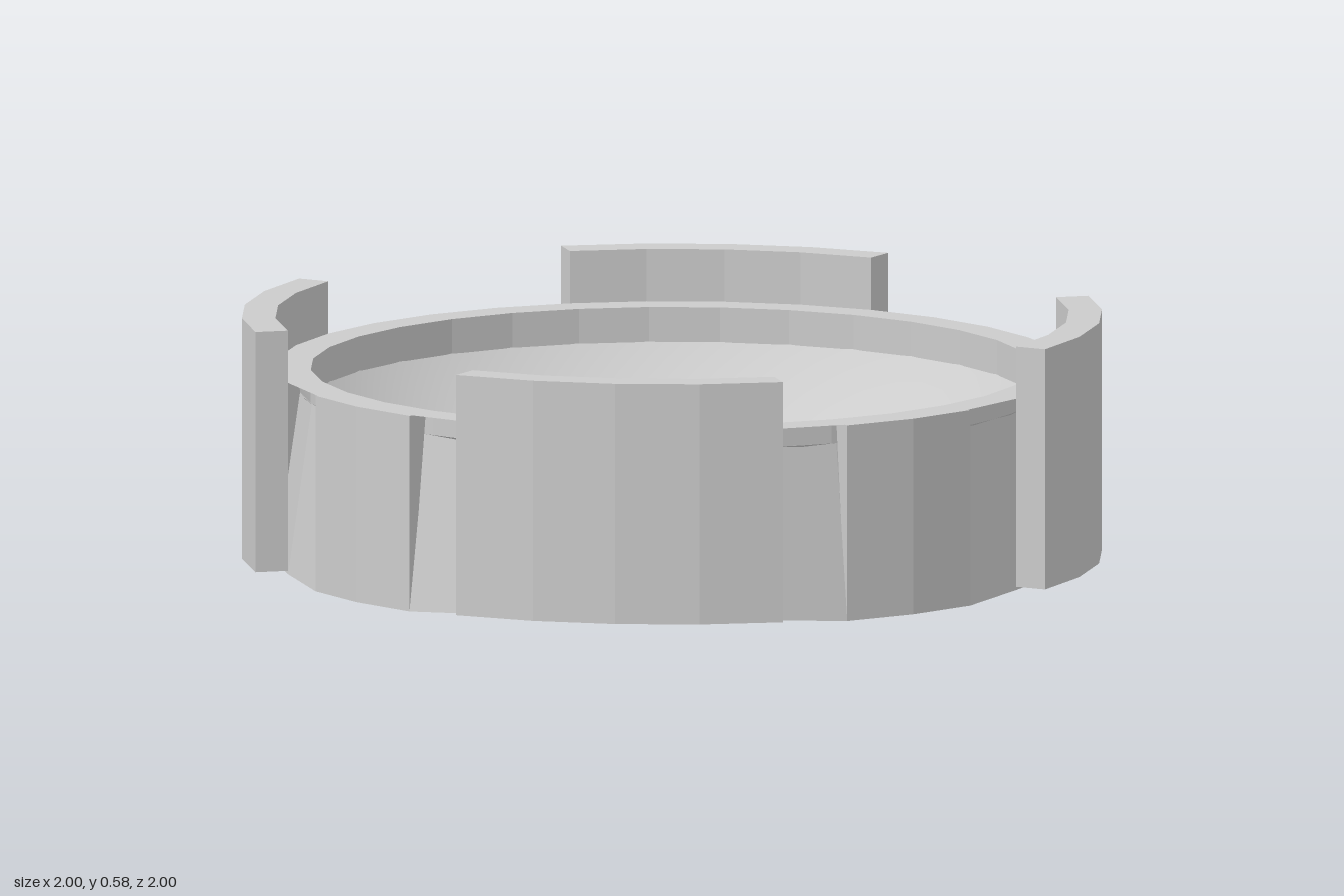
import * as THREE from 'three';

const SIDES = 32;
const STEP = (Math.PI * 2) / SIDES;
const flat = new THREE.MeshStandardMaterial({ color: 0xcccccc, flatShading: true, side: THREE.DoubleSide });
const smooth = new THREE.MeshStandardMaterial({ color: 0xcccccc, side: THREE.DoubleSide });

function add(parent, name, geometry, material = flat) {
  const mesh = new THREE.Mesh(geometry, material);
  mesh.name = name;
  parent.add(mesh);
  return mesh;
}

// Box bent around the y axis, centred on the front (+z)
function arcBlock(segments, y0, y1, rOuter, rInnerBottom, rInnerTop) {
  const geo = new THREE.BoxGeometry(1, 1, 1, segments, 1, 1);
  const p = geo.attributes.position;
  for (let i = 0; i < p.count; i++) {
    const top = p.getY(i) > 0;
    const r = p.getZ(i) > 0 ? rOuter : top ? rInnerTop : rInnerBottom;
    const a = p.getX(i) * segments * STEP;
    p.setXYZ(i, Math.sin(a) * r, top ? y1 : y0, Math.cos(a) * r);
  }
  geo.computeVertexNormals();
  return geo;
}

function lathe(points, segments = SIDES) {
  return new THREE.LatheGeometry(points.map(([r, y]) => new THREE.Vector2(r, y)), segments);
}

export function createModel() {
  const model = new THREE.Group();
  model.name = 'dishHolder';

  // Tapered skirt, slightly raised behind the guard plates
  const skirt = lathe([[0.922, 0], [0.865, 0.41]]);
  const p = skirt.attributes.position;
  for (let i = 0; i < p.count; i++) {
    const a = Math.atan2(p.getX(i), p.getZ(i));
    if (p.getY(i) < 0.01 && Math.cos(4 * a) > -0.1) p.setY(i, 0.012);
  }
  add(model, 'taperedSkirt', skirt);

  // Flat rim and its inner wall, with an open slot below the rim
  add(model, 'rim', lathe([[0.84, 0.38], [0.84, 0.462], [0.922, 0.462]]));

  // Shallow spherical bowl
  const R = 1.126;
  const edge = Math.asin(0.865 / R);
  const bowl = [];
  for (let i = 0; i <= 24; i++) {
    const t = (edge * i) / 24;
    bowl.push([R * Math.sin(t), R + 0.005 - R * Math.cos(t)]);
  }
  add(model, 'bowl', lathe(bowl, 64), smooth);

  // Four guard plates, with a wall pad in each gap between them
  const plate = arcBlock(4, 0.02, 0.585, 1, 0.922, 0.922);
  const pad = arcBlock(2, 0, 0.46, 0.922, 0.915, 0.865);
  for (let i = 0; i < 4; i++) {
    add(model, 'guardPlate', plate).rotation.y = (i * Math.PI) / 2;
    add(model, 'wallPad', pad).rotation.y = (i + 0.5) * (Math.PI / 2);
  }
  return model;
}
